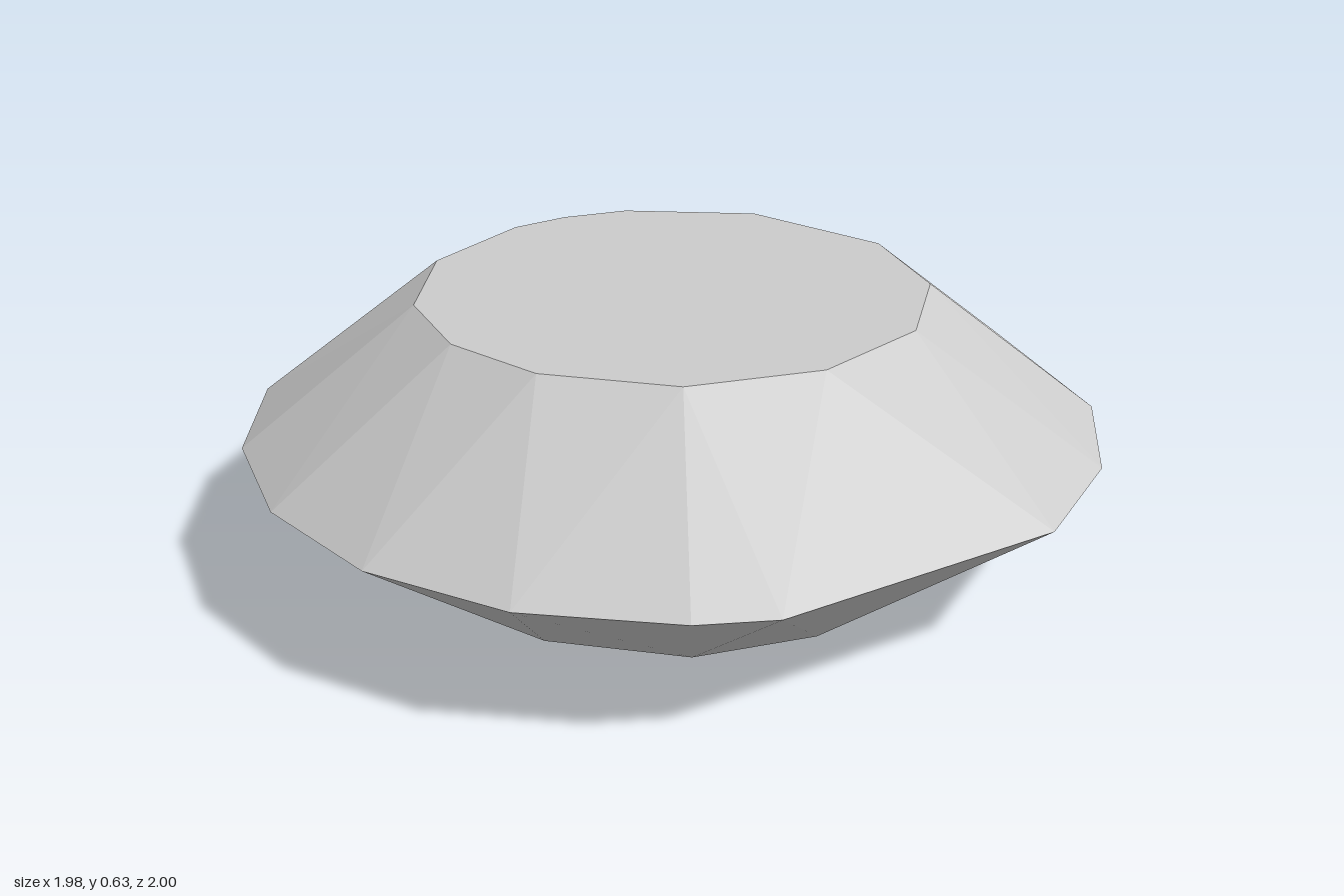
import * as THREE from 'three';

const MID = 0.315, TOP = 0.63;

// Irregular rings: corner angles in degrees, clockwise from the back
const GIRDLE = [0, 30, 50, 70, 100, 120, 140, 180, 190, 210, 230, 250, 270, 290, 310, 320, 340];
const TABLE = [0, 32.5, 70, 100, 130, 160, 190, 220, 244.5, 270, 300, 330, 344];
const CULET = [15, 33, 70, 100, 133, 160, 188, 220, 244, 267, 308, 345];

function ringPoint(angle, radius, y) {
  const a = THREE.MathUtils.degToRad(angle);
  return [Math.sin(a) * radius, y, -Math.cos(a) * radius];
}

// Corner i of a ring, counting on past a full turn
const cornerAngle = (ring, i) => ring[i % ring.length] + 360 * Math.floor(i / ring.length);

function facetMesh(name, triangles, flip, material) {
  const points = triangles.flatMap(([a, b, c]) => (flip ? [a, c, b] : [a, b, c])).flat();
  const geometry = new THREE.BufferGeometry();
  geometry.setAttribute('position', new THREE.Float32BufferAttribute(points, 3));
  geometry.computeVertexNormals();
  const mesh = new THREE.Mesh(geometry, material);
  mesh.name = name;
  return mesh;
}

// Sloping facets between the girdle and a smaller ring
function slope(ring, y) {
  const triangles = [];
  const outer = i => ringPoint(cornerAngle(GIRDLE, i), 1, MID);
  const inner = i => ringPoint(cornerAngle(ring, i), 0.595, y);
  let g = 0, r = 0;
  while (g < GIRDLE.length || r < ring.length) {
    const stepOuter = r >= ring.length ||
      (g < GIRDLE.length && cornerAngle(GIRDLE, g + 1) < cornerAngle(ring, r + 1));
    if (stepOuter) {
      triangles.push([outer(g + 1), outer(g), inner(r)]);
      g++;
    } else {
      triangles.push([inner(r), inner(r + 1), outer(g)]);
      r++;
    }
  }
  return triangles;
}

// Flat fan closing a ring
function cap(ring, y) {
  return ring.map((_, i) => [
    [0, y, 0],
    ringPoint(cornerAngle(ring, i + 1), 0.595, y),
    ringPoint(cornerAngle(ring, i), 0.595, y),
  ]);
}

export function createModel() {
  const material = new THREE.MeshStandardMaterial({ color: 0xcccccc, flatShading: true });
  const gem = new THREE.Group();
  gem.name = 'gem';
  gem.add(
    facetMesh('crownFacets', slope(TABLE, TOP), false, material),
    facetMesh('topTable', cap(TABLE, TOP), false, material),
    facetMesh('pavilionFacets', slope(CULET, 0), true, material),
    facetMesh('bottomTable', cap(CULET, 0), true, material),
  );
  return gem;
}
